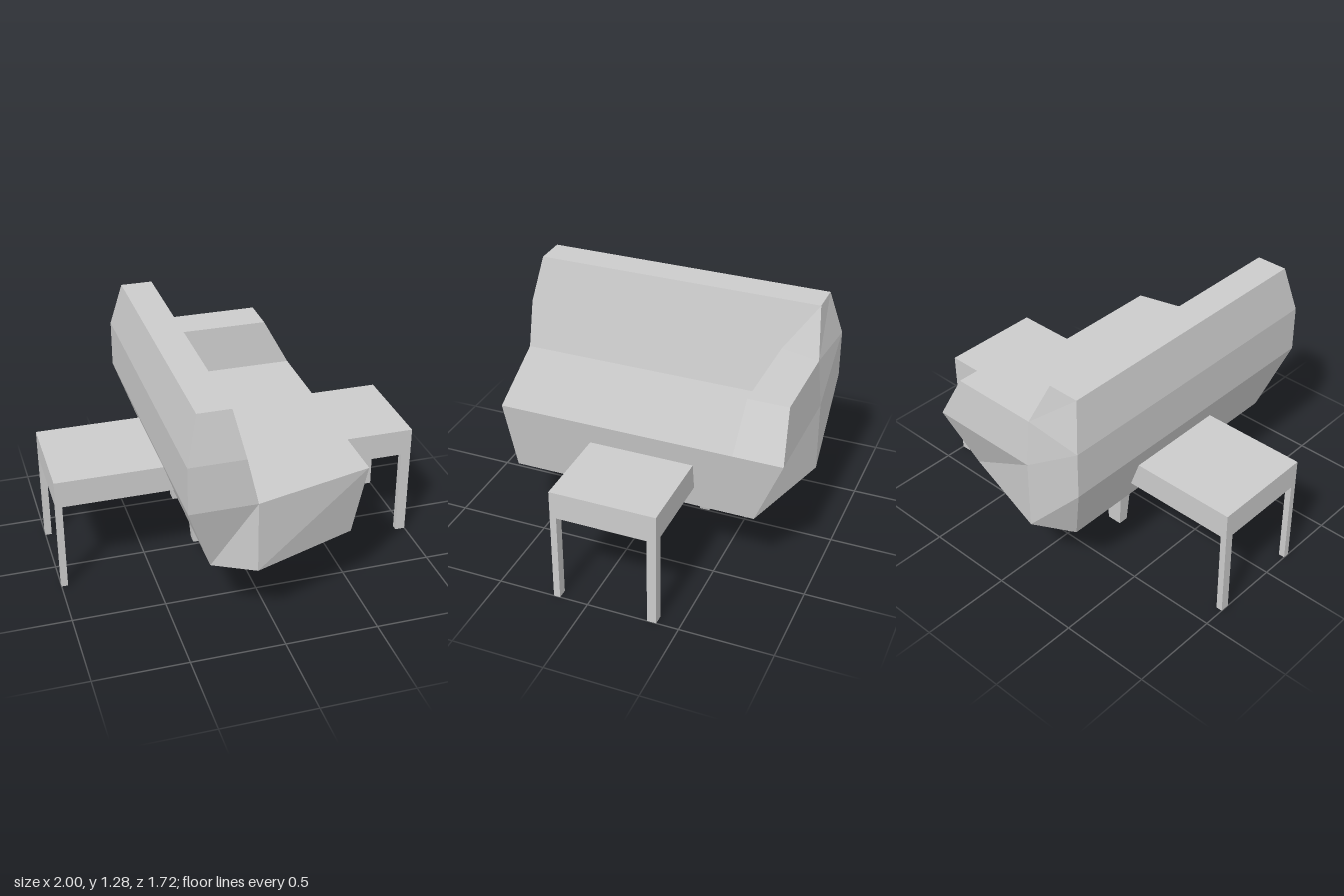
import * as THREE from 'three';

const grey = new THREE.MeshStandardMaterial({ color: 0xcccccc, flatShading: true, side: THREE.DoubleSide });

// Skin rings of [x, z] corners, stacked from the lowest y to the highest
function loft(name, levels, capBottom, capTop) {
  const pos = [];
  const n = levels[0].ring.length;
  const point = (level, i) => {
    const [x, z] = level.ring[i % n];
    return [x, level.y, z];
  };
  const tri = (a, b, c) => pos.push(...a, ...b, ...c);
  for (let k = 0; k + 1 < levels.length; k++) {
    const low = levels[k], high = levels[k + 1];
    for (let i = 0; i < n; i++) {
      tri(point(low, i), point(low, i + 1), point(high, i + 1));
      tri(point(low, i), point(high, i + 1), point(high, i));
    }
  }
  const top = levels[levels.length - 1];
  for (let i = 1; i + 1 < n; i++) {
    if (capBottom) tri(point(levels[0], 0), point(levels[0], i + 1), point(levels[0], i));
    if (capTop) tri(point(top, 0), point(top, i), point(top, i + 1));
  }
  const geometry = new THREE.BufferGeometry();
  geometry.setAttribute('position', new THREE.Float32BufferAttribute(pos, 3));
  geometry.computeVertexNormals();
  const mesh = new THREE.Mesh(geometry, grey);
  mesh.name = name;
  return mesh;
}

const rect = (x0, x1, z0, z1) => [[x0, z0], [x0, z1], [x1, z1], [x1, z0]];

function box(name, x0, x1, y0, y1, z0, z1) {
  const mesh = new THREE.Mesh(new THREE.BoxGeometry(x1 - x0, y1 - y0, z1 - z0), grey);
  mesh.position.set((x0 + x1) / 2, (y0 + y1) / 2, (z0 + z1) / 2);
  mesh.name = name;
  return mesh;
}

export function createModel() {
  const model = new THREE.Group();
  model.name = 'sofaWithSideTables';

  // Sofa body: the seat base narrows towards the floor
  const sofa = new THREE.Group();
  sofa.name = 'sofa';
  sofa.add(loft('seatBase', [
    { y: 0.375, ring: [[-0.32, -0.745], [-0.32, 0.74], [-0.105, 0.855], [0.47, 0.65], [0.47, -0.7], [-0.105, -0.86]] },
    { y: 0.77, ring: [[-0.46, -0.86], [-0.46, 0.855], [-0.105, 0.855], [0.535, 0.69], [0.535, -0.86], [-0.105, -0.86]] },
  ], true, true));

  // Backrest, with one corner pulled out to meet the armrest
  sofa.add(loft('backrest', [
    { y: 0.77, ring: [[-0.46, -0.86], [-0.46, 0.855], [-0.105, 0.855], [-0.105, -0.595], [-0.105, -0.86]] },
    { y: 1.03, ring: [[-0.46, -0.86], [-0.46, 0.855], [-0.165, 0.855], [-0.165, -0.615], [-0.105, -0.835]] },
    { y: 1.285, ring: [[-0.4, -0.795], [-0.4, 0.805], [-0.225, 0.805], [-0.225, -0.795], [-0.225, -0.795]] },
  ], false, true));

  // Single armrest
  sofa.add(loft('armrest', [
    { y: 0.77, ring: [[-0.105, -0.86], [-0.105, -0.595], [0.535, -0.595], [0.535, -0.86]] },
    { y: 1.03, ring: [[-0.105, -0.835], [-0.165, -0.615], [0.395, -0.615], [0.395, -0.835]] },
  ], false, true));

  // Tapered sofa legs: upper and lower x spans, repeated at two z spans
  const spansX = [[-0.275, -0.155, -0.255, -0.175], [0.165, 0.24, 0.13, 0.165]];
  const spansZ = [[0.1, 0.175, 0.11, 0.165], [-0.36, -0.285, -0.35, -0.295]];
  for (const [x0, x1, x2, x3] of spansX) {
    for (const [z0, z1, z2, z3] of spansZ) {
      sofa.add(loft('sofaLeg', [
        { y: 0.13, ring: rect(x2, x3, z2, z3) },
        { y: 0.38, ring: rect(x0, x1, z0, z1) },
      ], true, false));
    }
  }
  model.add(sofa);

  // Table slab running through the sofa, with a leg at each corner
  const table = new THREE.Group();
  table.name = 'sideTables';
  table.add(box('tableTop', -1, 1, 0.5, 0.65, -0.38, 0.19));
  for (const [x0, x1] of [[-1, -0.965], [0.945, 1]]) {
    for (const [z0, z1] of [[-0.38, -0.33], [0.155, 0.19]]) {
      table.add(box('tableLeg', x0, x1, 0, 0.5, z0, z1));
    }
  }
  model.add(table);
  return model;
}
